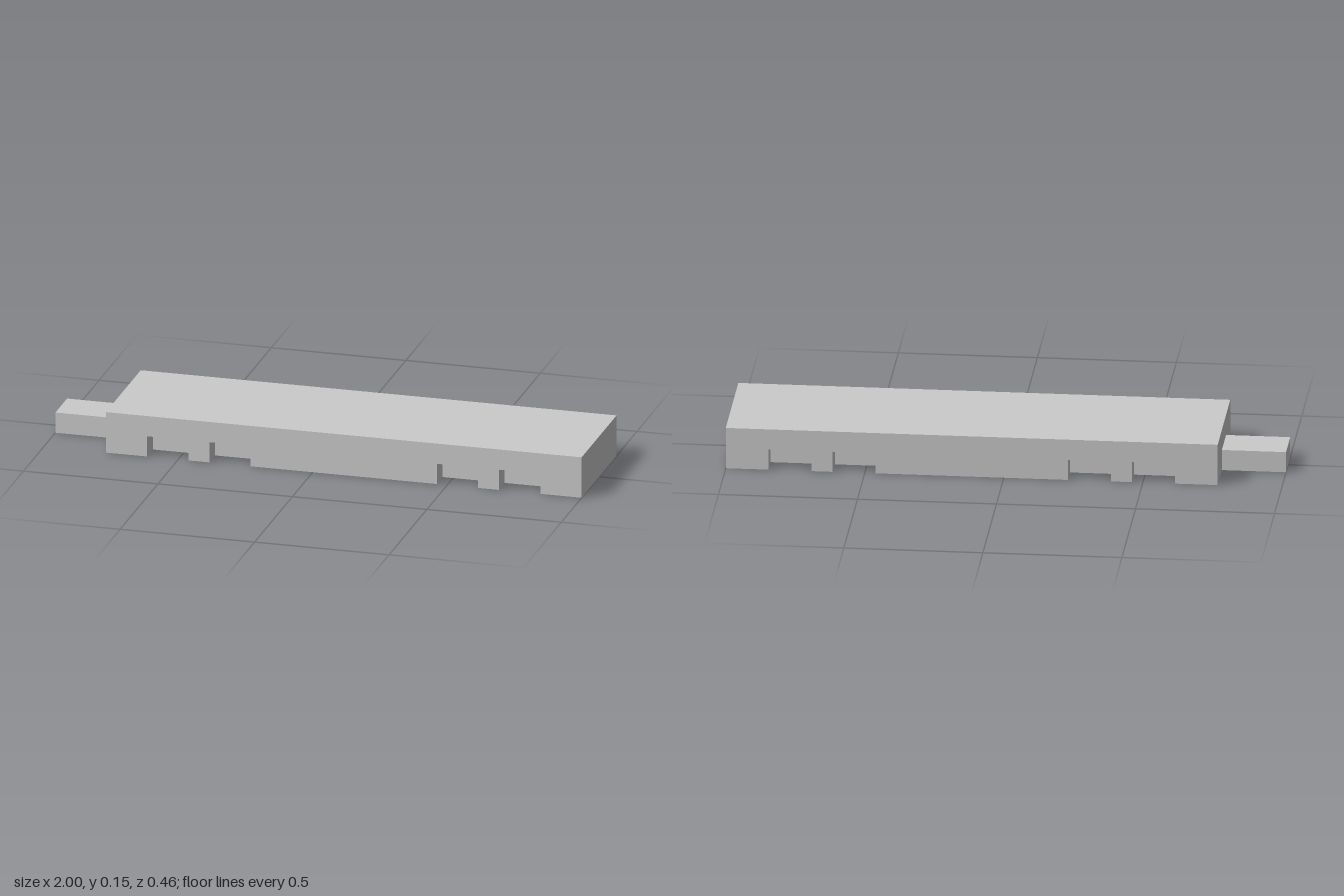
import * as THREE from 'three';
import { mergeGeometries } from 'three/addons/utils/BufferGeometryUtils.js';

const UNIT = 1 / 13; // all sizes below are in whole modules, scaled once at the end
const LENGTH = 23, WIDTH = 6, HEIGHT = 2;
const NOTCHES = [-8.5, -5.5, 5.5, 8.5]; // notch centres along the body, each 2 x 1 x 1

// Straight edge at the given level, stepping inwards by one module at every notch
function notchedEdge(level) {
  const points = [[-LENGTH / 2, level]];
  for (const c of NOTCHES) {
    points.push([c - 1, level], [c - 1, level + 1], [c + 1, level + 1], [c + 1, level]);
  }
  points.push([LENGTH / 2, level]);
  return points;
}

const face = (points) =>
  new THREE.ShapeGeometry(new THREE.Shape(points.map(([x, y]) => new THREE.Vector2(x, y))));

const plane = (w, h, rx, ry, x, y, z) =>
  new THREE.PlaneGeometry(w, h).rotateX(rx).rotateY(ry).translate(x, y, z);

function bodyGeometry() {
  const Q = Math.PI / 2;

  // One long side, one end and the linings of that side's notches
  const half = [
    face([...notchedEdge(0), [LENGTH / 2, HEIGHT], [-LENGTH / 2, HEIGHT]]).translate(0, 0, WIDTH / 2),
    plane(WIDTH, HEIGHT, 0, Q, LENGTH / 2, HEIGHT / 2, 0),
  ];
  const z = WIDTH / 2 - 0.5;
  for (const c of NOTCHES) {
    half.push(
      plane(2, 1, 0, 0, c, 0.5, z - 0.5), // inner wall
      plane(2, 1, Q, 0, c, 1, z),         // ceiling
      plane(1, 1, 0, Q, c - 1, 0.5, z),   // cheeks
      plane(1, 1, 0, -Q, c + 1, 0.5, z),
    );
  }
  const otherHalf = half.map((g) => g.clone().rotateY(Math.PI));

  // Plain top and notched underside
  const edge = notchedEdge(-WIDTH / 2);
  const top = plane(LENGTH, WIDTH, -Q, 0, 0, HEIGHT, 0);
  const underside = face([...edge, ...edge.map(([x, y]) => [-x, -y])]).rotateX(Q);

  return mergeGeometries([...half, ...otherHalf, top, underside]);
}

export function createModel() {
  const material = new THREE.MeshStandardMaterial({ color: 0xcccccc, flatShading: true });
  const model = new THREE.Group();
  model.name = 'notchedBar';

  const body = new THREE.Mesh(bodyGeometry(), material);
  body.name = 'body';
  body.position.x = 1.5;

  // Low tongue projecting from the right end
  const tongue = new THREE.Mesh(new THREE.BoxGeometry(3, 1, 2), material);
  tongue.name = 'endTongue';
  tongue.position.set(-11.5, 0.5, 0);

  model.add(body, tongue);
  model.scale.setScalar(UNIT);
  return model;
}
